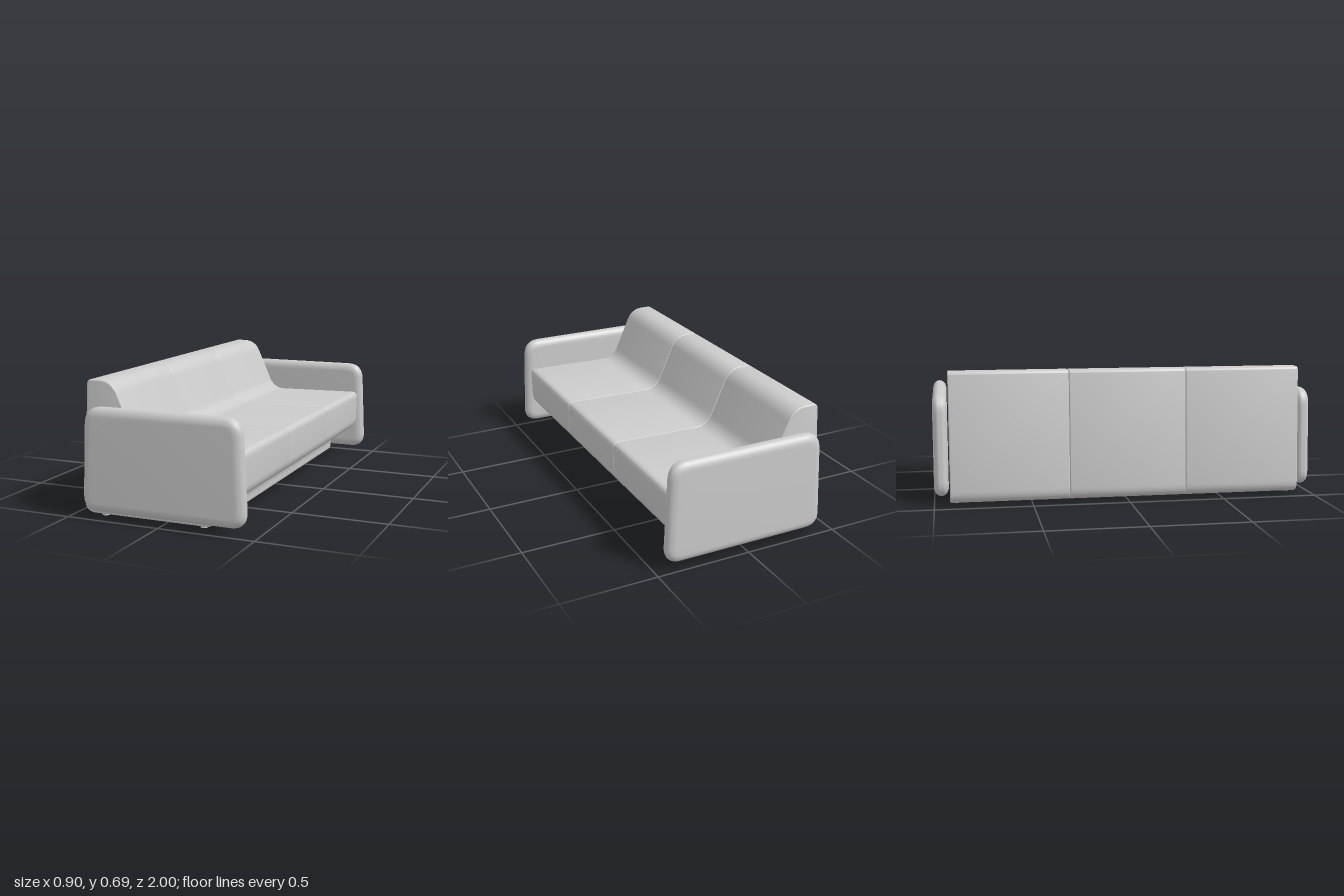
import * as THREE from 'three';
import { toCreasedNormals } from 'three/addons/utils/BufferGeometryUtils.js';

const grey = new THREE.MeshStandardMaterial({ color: 0xcccccc });

// Closed outline with every corner [x, y, radius] rounded off
function roundedShape(corners) {
  const shape = new THREE.Shape();
  const n = corners.length;
  corners.forEach(([x, y, r], i) => {
    const p = new THREE.Vector2(x, y);
    const toward = ([qx, qy]) => new THREE.Vector2(qx, qy).sub(p).setLength(r).add(p);
    const a = toward(corners[(i + n - 1) % n]);
    const b = toward(corners[(i + 1) % n]);
    if (i === 0) shape.moveTo(a.x, a.y);
    else shape.lineTo(a.x, a.y);
    shape.quadraticCurveTo(x, y, b.x, b.y);
  });
  shape.closePath();
  return shape;
}

// Slab of the given thickness along z, centred on z = 0, with rounded rims
function slab(shape, thickness, bevelThickness, bevelSize, bevelSegments) {
  const depth = thickness - 2 * bevelThickness;
  const geometry = new THREE.ExtrudeGeometry(shape, {
    depth, bevelThickness, bevelSize, bevelOffset: -bevelSize, bevelSegments, curveSegments: 10,
  });
  geometry.translate(0, 0, -depth / 2);
  return toCreasedNormals(geometry, 0.7);
}

export function createModel() {
  const model = new THREE.Group();
  model.name = 'sofa';

  const add = (name, geometry, x, y, z) => {
    const mesh = new THREE.Mesh(geometry, grey);
    mesh.name = name;
    mesh.position.set(x, y, z);
    model.add(mesh);
    return mesh;
  };

  // Seat, backrest and undercut base as one side profile
  const profile = roundedShape([
    [-0.453, 0.01, 0.065],
    [-0.418, 0.685, 0.025],
    [-0.28, 0.685, 0.07],
    [-0.145, 0.382, 0.07],
    [0.412, 0.392, 0.035],
    [0.408, 0.18, 0.05],
    [0.243, 0.085, 0.05],
    [0.243, 0.01, 0.02],
  ]);
  const sectionLength = 1.84 / 3;
  const section = slab(profile, sectionLength, 0.007, 0.007, 3);
  for (const i of [-1, 0, 1]) add('seatSection', section, 0, 0, i * sectionLength);

  // Pillow-shaped end panels
  const panel = roundedShape([
    [-0.424, 0.038, 0.085],
    [-0.4, 0.563, 0.09],
    [0.426, 0.563, 0.09],
    [0.452, 0.038, 0.085],
  ]);
  const arm = slab(panel, 0.075, 0.036, 0.045, 8);
  for (const [name, side] of [['frontArm', 1], ['backArm', -1]]) add(name, arm, 0, 0, side * 0.9625);

  // Small round feet
  const foot = new THREE.CylinderGeometry(0.019, 0.019, 0.014, 20);
  for (const x of [-0.345, 0.195]) {
    for (const z of [-0.89, 0.89]) add('foot', foot, x, 0.007, z);
  }

  return model;
}
